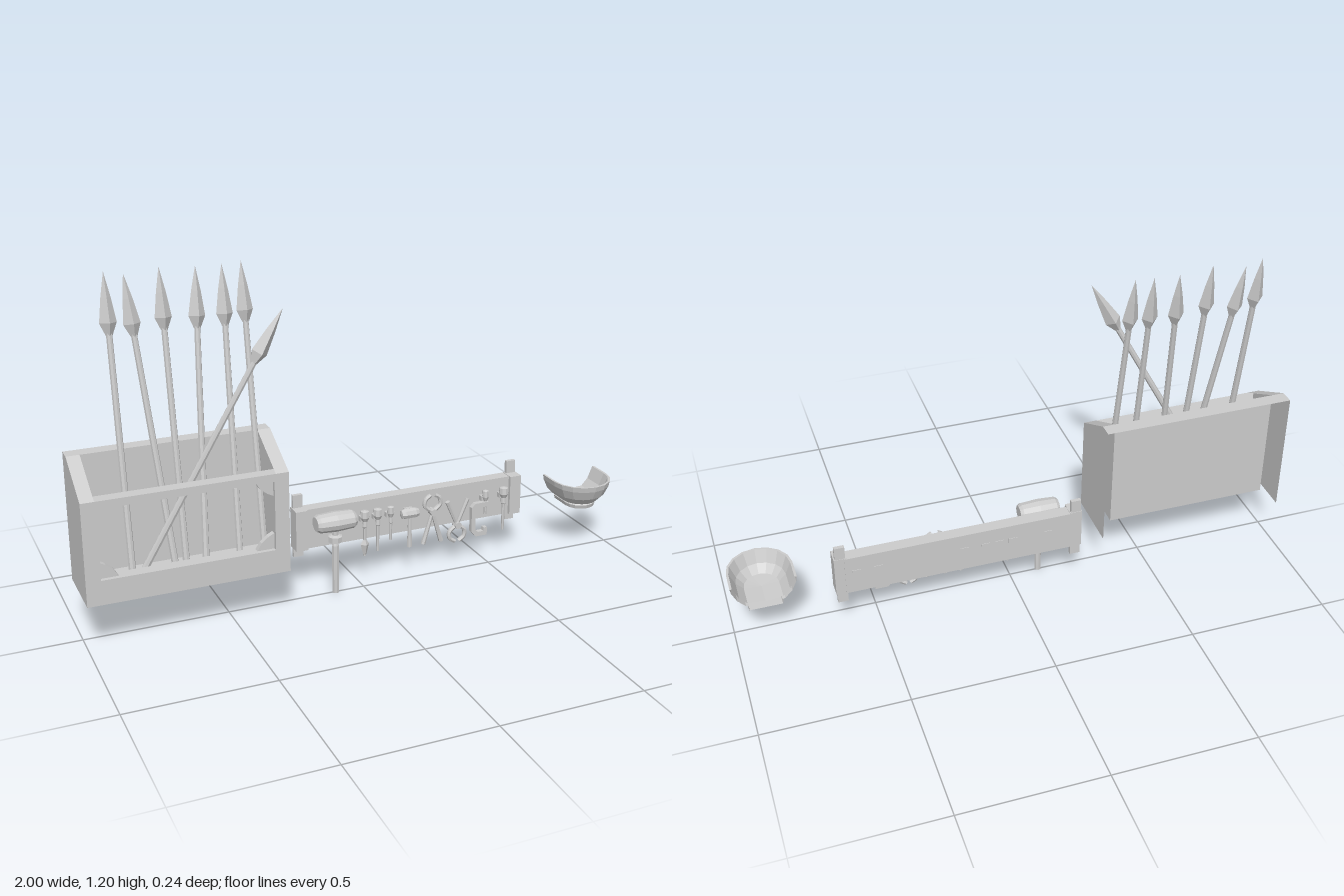
import * as THREE from 'three';

const solid = new THREE.MeshStandardMaterial({ color: 0xcccccc, flatShading: true });
const sheet = new THREE.MeshStandardMaterial({ color: 0xcccccc, flatShading: true, side: THREE.DoubleSide });
const V = (x, y, z) => new THREE.Vector3(x, y, z);

function add(parent, name, geo, mat = solid) {
  const m = new THREE.Mesh(geo, mat);
  m.name = name;
  parent.add(m);
  return m;
}
function group(parent, name) {
  const g = new THREE.Group();
  g.name = name;
  parent.add(g);
  return g;
}
// box given by its two corners
function box(parent, name, x0, x1, y0, y1, z0, z1) {
  const m = add(parent, name, new THREE.BoxGeometry(x1 - x0, y1 - y0, z1 - z0));
  m.position.set((x0 + x1) / 2, (y0 + y1) / 2, (z0 + z1) / 2);
  return m;
}
// skin over rows of points of equal length
function loft(rows) {
  const n = rows[0].length, idx = [];
  for (let j = 0; j < rows.length - 1; j++)
    for (let i = 0; i < n - 1; i++) {
      const a = j * n + i, b = a + n;
      idx.push(a, a + 1, b, a + 1, b + 1, b);
    }
  const g = new THREE.BufferGeometry().setFromPoints(rows.flat());
  g.setIndex(idx);
  g.computeVertexNormals();
  return g;
}
const shape = pts => new THREE.Shape(pts.map(p => new THREE.Vector2(...p)));
const lathe = (pts, seg) => new THREE.LatheGeometry(pts.map(p => new THREE.Vector2(...p)), seg);
// round bar between two points
function bar(parent, name, a, b, r0, r1 = r0, seg = 8) {
  const m = add(parent, name, new THREE.CylinderGeometry(r1, r0, a.distanceTo(b), seg));
  m.position.copy(a).lerp(b, 0.5);
  m.quaternion.setFromUnitVectors(V(0, 1, 0), b.clone().sub(a).normalize());
  return m;
}
const tube = (pts, r) => new THREE.TubeGeometry(new THREE.CatmullRomCurve3(pts), 14, r, 6);

function buildRack(root) {
  const g = group(root, 'spearRack');
  const X0 = -1, X1 = -0.315, T = 0.045, B = -0.11, F = 0.115, bottom = 0.17, floor = 0.205;
  const rim = [[F, 0.525], [-0.06, 0.62], [B, 0.62]];
  // side walls: outer skin, inner skin and sloping rim, open at back and bottom
  for (const [xo, xi] of [[X0, X0 + T], [X1, X1 - T]]) {
    const outer = add(g, 'sideWall', new THREE.ShapeGeometry(shape(
      [[-F, bottom], [-F, 0.525], [0.06, 0.62], [-B, 0.62], [-B, bottom]])), sheet);
    outer.rotation.y = Math.PI / 2;
    outer.position.x = xo;
    const inner = add(g, 'innerSide', new THREE.ShapeGeometry(shape(
      [[-0.07, floor], [-0.07, 0.549], [0.06, 0.62], [0.06, floor]])), sheet);
    inner.rotation.y = Math.PI / 2;
    inner.position.x = xi;
    add(g, 'sideRim', loft([xo, xi].map(x => rim.map(([z, y]) => V(x, y, z)))), sheet);
  }
  // back rim, back panel and floor as one folded sheet
  const fold = [[B, 0.62], [-0.06, 0.62], [-0.06, floor], [0.07, floor]];
  add(g, 'backAndFloor', loft([X0 + T, X1 - T].map(x => fold.map(([z, y]) => V(x, y, z)))), sheet);
  // front frame with a window
  const x0 = -0.95, x1 = -0.365, y0 = 0.255, y1 = 0.498;
  const frame = shape([[X0, bottom], [X1, bottom], [X1, 0.525], [X0, 0.525]]);
  frame.holes.push(shape([[x0, y0], [x0, y1], [x1, y1], [x1, y0]]));
  add(g, 'frontFrame', new THREE.ExtrudeGeometry(frame, { depth: F - 0.07, bevelEnabled: false }))
    .position.z = 0.07;
  // corner braces
  for (const [x, sx] of [[x0, 1], [x1, -1]])
    for (const [y, sy] of [[y0, 1], [y1, -1]]) {
      const pts = [[0, 0], [0.06, 0], [0.045, 0.025], [0.02, 0.045], [0, 0.055]].map(p => [x + p[0] * sx, y + p[1] * sy]);
      add(g, 'cornerBrace', new THREE.ExtrudeGeometry(shape(pts), { depth: 0.02, bevelEnabled: false }))
        .position.z = 0.08;
    }
}

function buildSpears(root) {
  const g = group(root, 'spears');
  // foot x, foot z, tip x, tip y, tip z
  const list = [
    [-0.835, 0.06, -0.835, 1.195, -0.095], [-0.69, 0.06, -0.77, 1.18, -0.108],
    [-0.655, 0.06, -0.66, 1.195, -0.092], [-0.59, 0.06, -0.538, 1.185, -0.105],
    [-0.472, 0.06, -0.452, 1.185, -0.1], [-0.385, 0.06, -0.387, 1.19, -0.1],
    [-0.8, 0.03, -0.322, 1.075, 0.11]];
  for (const [fx, fz, tx, ty, tz] of list) {
    const s = group(g, 'spear');
    const foot = V(fx, 0.21, fz), tip = V(tx, ty, tz), L = foot.distanceTo(tip);
    add(s, 'shaft', new THREE.CylinderGeometry(0.01, 0.012, L - 0.17, 8)).position.y = (L - 0.17) / 2;
    add(s, 'spearhead', lathe([[0, L - 0.2], [0.011, L - 0.2], [0.028, L - 0.16], [0.016, L - 0.08], [0, L]], 4));
    s.position.copy(foot);
    s.quaternion.setFromUnitVectors(V(0, 1, 0), tip.sub(foot).normalize());
  }
}

function buildToolBoard(root) {
  const g = group(root, 'toolBoard');
  box(g, 'board', -0.2, 0.615, 0.157, 0.303, -0.1, -0.055);
  for (const x of [-0.213, 0.628]) {
    box(g, 'endBlock', x - 0.022, x + 0.022, 0.157, 0.305, -0.098, -0.042);
    box(g, 'endPost', x - 0.018, x + 0.018, 0.12, 0.352, -0.096, -0.082);
  }
  // pegs running through the board
  for (const x of [-0.11, 0.02, 0.07, 0.12, 0.195, 0.5, 0.575])
    box(g, 'peg', x - 0.016, x + 0.016, 0.232, 0.25, -0.102, -0.035);

  // mallet
  const mallet = group(g, 'mallet');
  const head = add(mallet, 'malletHead', lathe(
    [[0, -0.073], [0.03, -0.073], [0.038, -0.062], [0.042, 0], [0.038, 0.062], [0.03, 0.073], [0, 0.073]], 12));
  head.rotation.z = Math.PI / 2;
  head.scale.x = 0.84;
  head.position.set(-0.108, 0.27, 0.003);
  add(mallet, 'malletHandle', lathe(
    [[0, 0], [0.012, 0], [0.013, 0.18], [0.01, 0.19], [0.026, 0.195], [0.026, 0.215], [0.012, 0.22], [0.012, 0.25]], 8))
    .position.set(-0.108, 0, 0.003);

  // hand tools with turned handles
  const Z = -0.035;
  for (const [x, y, s] of [[0.02, 0.1, 1], [0.07, 0.11, 1], [0.12, 0.145, 0.8], [0.575, 0.105, 1.05], [0.5, 0.18, 0.75]]) {
    const t = group(g, 'handTool');
    add(t, 'toolHandle', lathe([[0, 0], [0.011, 0.01], [0.009, 0.03], [0.017, 0.045], [0.015, 0.068], [0, 0.072]]
      .map(p => [p[0] * s, p[1]]), 8)).position.set(x, 0.203, Z);
    bar(t, 'toolShaft', V(x, y, Z), V(x, 0.21, Z), 0.005, 0.006, 6);
    if (x < 0.05) add(t, 'toolBlade', lathe([[0, 0], [0.006, 0.005], [0.016, 0.045], [0.005, 0.065]], 4)).position.set(x, y, Z);
  }

  // small hammer
  const hammer = group(g, 'hammer');
  const block = add(hammer, 'hammerHead', lathe(
    [[0, -0.035], [0.014, -0.033], [0.019, -0.02], [0.019, 0.02], [0.014, 0.033], [0, 0.035]], 8));
  block.rotation.z = Math.PI / 2;
  block.position.set(0.195, 0.234, Z);
  bar(hammer, 'hammerHandle', V(0.195, 0.105, Z), V(0.195, 0.225, Z), 0.01, 0.006);

  // two pairs of tongs, the second one hung jaws down
  for (const [x, y, up, spread, leg] of [[0.285, 0.225, 1, 0.036, 0.12], [0.385, 0.158, -1, 0.04, 0.095]]) {
    const t = group(g, 'tongs');
    for (const s of [-1, 1]) {
      bar(t, 'tongsLeg', V(x, y, Z), V(x + s * spread, y - up * leg, Z), 0.007, 0.009, 6);
      add(t, 'tongsJaw', tube([V(x, y, Z), V(x + s * 0.03, y + up * 0.025, Z),
        V(x + s * 0.028, y + up * 0.05, Z), V(x + s * 0.008, y + up * 0.065, Z)], 0.008));
    }
    const pin = add(t, 'tongsPivot', new THREE.CylinderGeometry(0.013, 0.013, 0.03, 8));
    pin.rotation.x = Math.PI / 2;
    pin.position.set(x, y, Z);
  }

  // clamp
  const clamp = group(g, 'clamp');
  add(clamp, 'clampFrame', new THREE.ExtrudeGeometry(shape([
    [0.505, 0.1], [0.46, 0.1], [0.441, 0.12], [0.441, 0.215], [0.455, 0.23], [0.51, 0.23], [0.51, 0.212],
    [0.465, 0.212], [0.457, 0.205], [0.457, 0.128], [0.468, 0.117], [0.49, 0.117], [0.492, 0.13], [0.505, 0.13]]),
  { depth: 0.018, bevelEnabled: false })).position.z = Z - 0.009;
}

function buildBowl(root) {
  const g = group(root, 'wallBowl');
  const cx = 0.888, cz = -0.015, back = -0.095;
  // U-shaped outline of radius r at height y, open towards the wall
  const ring = (r, y) => {
    const pts = [V(cx + r, y, back)];
    for (let i = 0; i <= 8; i++) {
      const a = Math.PI * i / 8;
      pts.push(V(cx + r * Math.cos(a), y, cz + r * Math.sin(a)));
    }
    return [...pts, V(cx - r, y, back)];
  };
  const profile = [[0, 0.166], [0.056, 0.166], [0.06, 0.18], [0.056, 0.185], [0.066, 0.188], [0.092, 0.215],
    [0.108, 0.25], [0.112, 0.27], [0.104, 0.27], [0.085, 0.225], [0.06, 0.198], [0, 0.193]];
  add(g, 'bowlShell', loft(profile.map(p => ring(...p))), sheet);
}

export function createModel() {
  const root = new THREE.Group();
  root.name = 'workshopWallSet';
  buildRack(root);
  buildSpears(root);
  buildToolBoard(root);
  buildBowl(root);
  return root;
}
